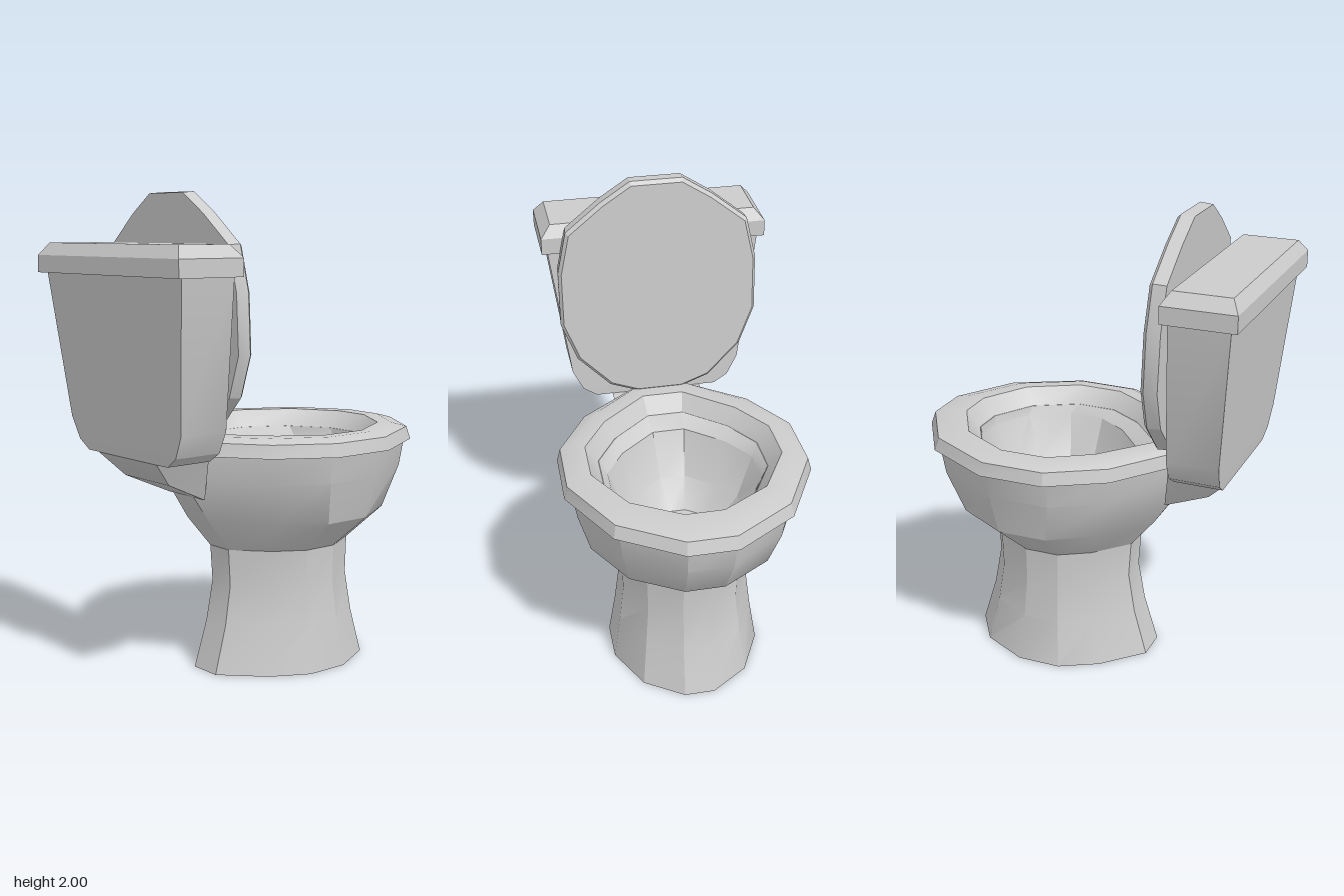
import * as THREE from 'three';
import { toCreasedNormals } from 'three/addons/utils/BufferGeometryUtils.js';

// Skin a list of equal-length rings; optionally cap both ends, or join last to first.
function loft(name, rings, { capStart = true, capEnd = true, closed = false, crease = 0.5 } = {}) {
  const n = rings[0].length;
  const pos = rings.flat(2);
  const index = [];
  const bands = closed ? rings.length : rings.length - 1;
  for (let r = 0; r < bands; r++) {
    const a = r * n, b = ((r + 1) % rings.length) * n;
    for (let i = 0; i < n; i++) {
      const j = (i + 1) % n;
      index.push(a + i, a + j, b + j, a + i, b + j, b + i);
    }
  }
  const last = (rings.length - 1) * n;
  for (let i = 1; i < n - 1; i++) {
    if (!closed && capStart) index.push(0, i + 1, i);
    if (!closed && capEnd) index.push(last, last + i, last + i + 1);
  }
  const geo = new THREE.BufferGeometry();
  geo.setAttribute('position', new THREE.Float32BufferAttribute(pos, 3));
  geo.setIndex(index);
  const mesh = new THREE.Mesh(
    toCreasedNormals(geo, crease),
    new THREE.MeshStandardMaterial({ color: 0xcccccc })
  );
  mesh.name = name;
  return mesh;
}

// Twelve-sided oval at height y, from x0 (back) to x1 (front), half width w.
function oval(y, x0, x1, w, back = 0.22) {
  const half = [[1, 0.2], [0.73, 0.7], [0.24, 1], [-0.22, 0.99], [-0.61, 0.72], [-1, back]];
  const c = (x0 + x1) / 2, h = (x1 - x0) / 2;
  const right = half.map(([u, v]) => [c + u * h, y, -v * w]);
  const left = half.map(([u, v]) => [c + u * h, y, v * w]).reverse();
  return [...right, ...left];
}

// Rectangle at height y.
const rect = (y, x0, x1, w) => [[x1, y, w], [x1, y, -w], [x0, y, -w], [x0, y, w]];

export function createModel() {
  const model = new THREE.Group();
  model.name = 'toilet';

  // Flared foot
  model.add(loft('pedestal', [
    oval(0, -0.27, 0.535, 0.325),
    oval(0.2, -0.21, 0.475, 0.295),
    oval(0.37, -0.18, 0.445, 0.275),
    oval(0.525, -0.19, 0.45, 0.28),
  ]));

  // Bowl: outside going up, then inside going down to the floor
  model.add(loft('bowl', [
    oval(0.525, -0.19, 0.45, 0.28),
    oval(0.66, -0.3, 0.61, 0.415, 0.18),
    oval(0.84, -0.42, 0.705, 0.465, 0.14),
    oval(0.958, -0.44, 0.725, 0.485, 0.12),
    oval(0.958, -0.235, 0.52, 0.345),
    oval(0.92, -0.16, 0.515, 0.315),
    oval(0.73, -0.07, 0.42, 0.25),
    oval(0.62, 0.03, 0.31, 0.16),
  ]));

  // Seat ring
  model.add(loft('seat', [
    oval(0.955, -0.235, 0.52, 0.345),
    oval(0.955, -0.45, 0.745, 0.517, 0.12),
    oval(1.01, -0.435, 0.725, 0.503, 0.12),
    oval(1.03, -0.39, 0.65, 0.45, 0.17),
    oval(1.03, -0.29, 0.58, 0.4),
  ], { closed: true }));

  // Bracket joining bowl and tank
  model.add(loft('neck', [
    [[-0.36, 0.77, 0.12], [-0.36, 0.77, -0.12], [-0.56, 0.86, -0.15], [-0.56, 0.86, 0.15]],
    rect(0.96, -0.655, -0.4, 0.2),
  ]));

  // Tank, tapering down to a chamfered underside
  model.add(loft('tank', [
    rect(0.96, -0.655, -0.45, 0.27),
    rect(1.0, -0.66, -0.45, 0.33),
    rect(1.09, -0.668, -0.453, 0.375),
    rect(1.68, -0.72, -0.475, 0.455),
  ]));
  model.add(loft('tankLid', [
    rect(1.68, -0.75, -0.45, 0.48),
    rect(1.75, -0.75, -0.45, 0.48),
    rect(1.8, -0.718, -0.482, 0.437),
  ]));

  // Raised cover, leaning back; the front face is slightly inset
  const side = [[0.11, 2], [0.235, 1.92], [0.385, 1.8], [0.425, 1.62],
    [0.425, 1.38], [0.36, 1.21], [0.22, 1.065], [0.1, 1.02]];
  const outline = [...side, ...side.map(([z, y]) => [-z, y]).reverse()];
  const coverRing = (x, scale) => outline.map(([z, y]) => {
    const h = 1.51 + (y - 1.51) * scale;
    return [x - 0.038 * (h - 1.02), h, z * scale];
  });
  model.add(loft('cover', [
    coverRing(-0.415, 0.99),
    coverRing(-0.36, 1),
    coverRing(-0.345, 0.97),
  ], { crease: 0.4 }));

  return model;
}
